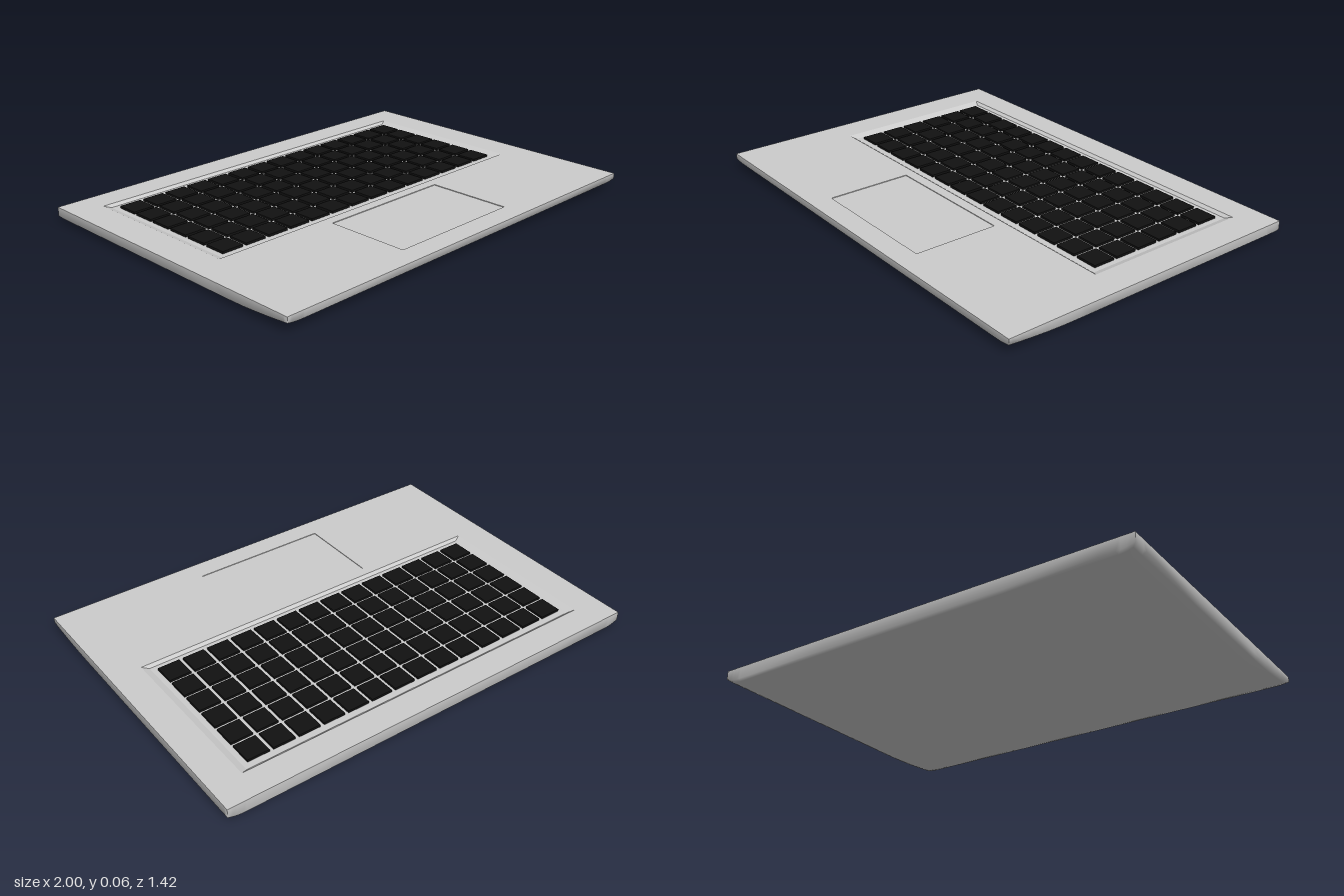
import * as THREE from 'three';

const TOP = 0.065, HX = 1, HZ = 0.71;
const metal = new THREE.MeshStandardMaterial({ color: 0xcccccc });
const black = new THREE.MeshStandardMaterial({ color: 0x111111 });

// Rectangles on the deck: [x0, x1, z0, z1]
const WELL = [-0.86, 0.86, -0.585, 0.18];
const WELL_FLOOR = [-0.83, 0.83, -0.57, 0.165];
const PAD = [-0.315, 0.315, 0.228, 0.61];
const FLOOR_Y = 0.054, PAD_Y = 0.062;

// Corners anticlockwise as seen from above
const corners = ([x0, x1, z0, z1]) => [[x0, z1], [x1, z1], [x1, z0], [x0, z0]];
const outline = (rect, Type) => new Type(corners(rect).map(([x, z]) => new THREE.Vector2(x, -z)));

function addMesh(parent, name, geometry, material = metal) {
  const mesh = new THREE.Mesh(geometry, material);
  mesh.name = name;
  parent.add(mesh);
  return mesh;
}

// Flat upward-facing sheet with optional rectangular holes
function sheet(rect, y, holes = []) {
  const shape = outline(rect, THREE.Shape);
  shape.holes = holes.map(h => outline(h, THREE.Path));
  return new THREE.ShapeGeometry(shape).rotateX(-Math.PI / 2).translate(0, y, 0);
}

// Four walls leading from an outer rectangle down to an inner one
function walls(outer, yOuter, inner, yInner) {
  const o = corners(outer).map(([x, z]) => [x, yOuter, z]);
  const n = corners(inner).map(([x, z]) => [x, yInner, z]);
  const points = [];
  for (let i = 0; i < 4; i++) {
    const j = (i + 1) % 4;
    points.push(...o[i], ...o[j], ...n[j], ...o[i], ...n[j], ...n[i]);
  }
  const geometry = new THREE.BufferGeometry();
  geometry.setAttribute('position', new THREE.Float32BufferAttribute(points, 3));
  geometry.computeVertexNormals();
  return geometry;
}

// Height of the underside: flat in the middle, rising towards each edge
function underside(x, z) {
  const rise = (t, start, end, height, power) =>
    height * Math.pow(Math.max(0, (t - start) / (end - start)), power);
  const side = rise(Math.abs(x), 0.92, HX, 0.023, 1.4);
  const front = rise(z, 0.38, HZ, 0.034, 1.2);
  const back = rise(-z, 0.63, HZ, 0.011, 1.4);
  return Math.hypot(side, front + back);
}

// Underside grid whose outermost ring is lifted to the deck to form the rim
function shellGeometry() {
  const xh = [0.45, 0.85, 0.92, 0.94, 0.96, 0.98, 1, 1];
  const xs = [...xh.map(x => -x).reverse(), 0, ...xh];
  const zs = [-HZ, -HZ, -0.69, -0.67, -0.65, -0.63, -0.55, -0.2, 0.1, 0.32,
    0.38, 0.43, 0.48, 0.54, 0.6, 0.65, 0.69, HZ, HZ];
  const nx = xs.length, nz = zs.length, points = [], index = [];
  zs.forEach((z, j) => xs.forEach((x, i) => {
    const rim = i === 0 || j === 0 || i === nx - 1 || j === nz - 1;
    points.push(x, rim ? TOP : underside(x, z), z);
  }));
  for (let j = 0; j < nz - 1; j++) {
    for (let i = 0; i < nx - 1; i++) {
      const a = j * nx + i, b = a + 1, d = a + nx, c = d + 1;
      index.push(a, b, c, a, c, d);
    }
  }
  const geometry = new THREE.BufferGeometry();
  geometry.setAttribute('position', new THREE.Float32BufferAttribute(points, 3));
  geometry.setIndex(index);
  geometry.computeVertexNormals();
  return geometry;
}

export function createModel() {
  const model = new THREE.Group();
  model.name = 'laptopBase';

  // Case
  addMesh(model, 'bottomShell', shellGeometry());
  addMesh(model, 'deck', sheet([-HX, HX, -HZ, HZ], TOP, [WELL, PAD]));

  // Sunken keyboard well with sloping walls
  addMesh(model, 'keyboardWellWalls', walls(WELL, TOP, WELL_FLOOR, FLOOR_Y));
  addMesh(model, 'keyboardWellFloor', sheet(WELL_FLOOR, FLOOR_Y));

  // Slightly recessed trackpad
  addMesh(model, 'trackpadEdge', walls(PAD, TOP, PAD, PAD_Y));
  addMesh(model, 'trackpad', sheet(PAD, PAD_Y));

  // Keys
  const keyboard = new THREE.Group();
  keyboard.name = 'keyboard';
  const keyGeometry = new THREE.BoxGeometry(0.099, 0.01, 0.099);
  for (let row = 0; row < 6; row++) {
    for (let col = 0; col < 14; col++) {
      const key = addMesh(keyboard, 'key', keyGeometry, black);
      key.position.set((col - 6.5) * 0.1165, FLOOR_Y + 0.005, -0.489 + row * 0.115);
    }
  }
  model.add(keyboard);
  return model;
}
